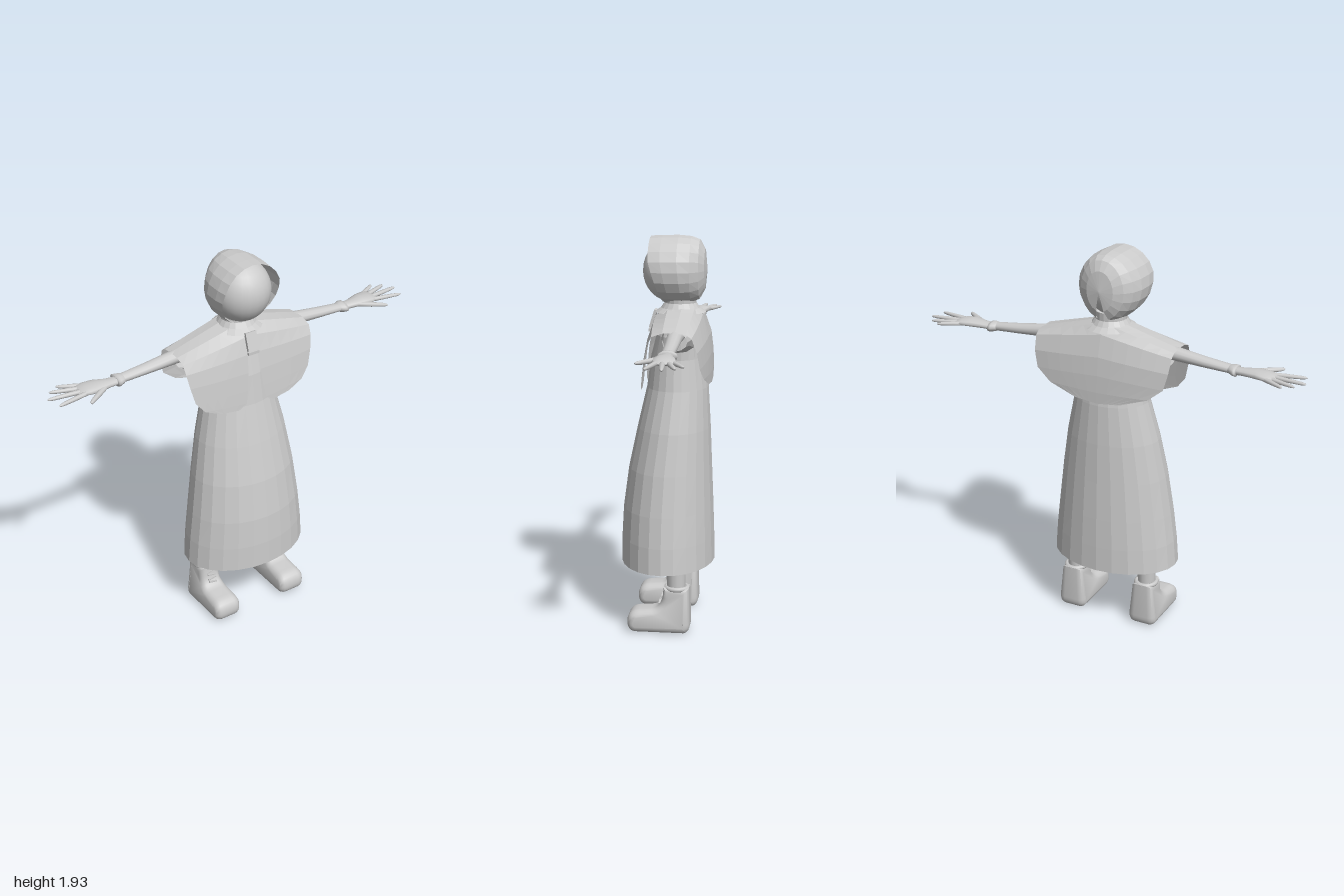
import * as THREE from 'three';
import { toCreasedNormals } from 'three/addons/utils/BufferGeometryUtils.js';

const smooth = new THREE.MeshStandardMaterial({ color: 0xcccccc });
const cloth = new THREE.MeshStandardMaterial({ color: 0xcccccc, flatShading: true, side: THREE.DoubleSide });

// Skin a list of point rows; wrap joins the last column to the first
function skin(rows, wrap = false) {
  const n = rows[0].length, index = [];
  for (let i = 0; i < rows.length - 1; i++) {
    for (let j = 0; j < (wrap ? n : n - 1); j++) {
      const k = (j + 1) % n;
      const a = i * n + j, b = i * n + k, c = a + n, d = b + n;
      index.push(a, b, d, a, d, c);
    }
  }
  const g = new THREE.BufferGeometry();
  g.setAttribute('position', new THREE.Float32BufferAttribute(rows.flat(2), 3));
  g.setIndex(index);
  g.computeVertexNormals();
  return g;
}

// Rounded limb running sideways; stations are [x, y, z, radiusY, radiusZ], s is the side
function limb(stations, s, n = 12) {
  const rows = stations.map(([x, y, z, ry, rz]) => Array.from({ length: n }, (_, j) => {
    const a = j / n * Math.PI * 2;
    return [s * x, y + ry * Math.cos(a), z + s * rz * Math.sin(a)];
  }));
  return skin(rows, true);
}

// Finger with a rounded tip between two (x, z) points
function finger([x0, z0, x1, z1], s, r) {
  const dx = x1 - x0, dz = z1 - z0, slant = Math.hypot(dx, dz) / dx;
  const steps = [[0, 1], [0.45, 0.95], [0.85, 0.75], [0.96, 0.5], [1, 0.02]];
  return limb(steps.map(([t, k]) => [x0 + dx * t, 1.46, z0 + dz * t, r * k * 0.85, r * k * slant]), s, 8);
}

function bootGeometry() {
  // Side outline, toe pointing along +x of the shape
  const o = new THREE.Shape();
  o.moveTo(-0.1, 0);
  o.lineTo(0.14, 0);
  o.quadraticCurveTo(0.18, 0.005, 0.18, 0.05);
  o.quadraticCurveTo(0.18, 0.11, 0.12, 0.115);
  o.lineTo(0.06, 0.12);
  o.quadraticCurveTo(0.015, 0.125, 0.005, 0.18);
  o.lineTo(0, 0.23);
  o.lineTo(-0.125, 0.23);
  o.lineTo(-0.13, 0.05);
  o.quadraticCurveTo(-0.13, 0.005, -0.1, 0);
  const g = new THREE.ExtrudeGeometry(o, {
    depth: 0.075, bevelSize: 0.03, bevelOffset: -0.03, bevelThickness: 0.035, bevelSegments: 4, curveSegments: 6, steps: 2,
  });
  g.translate(0, 0, -0.0375).rotateY(-Math.PI / 2);
  // Narrow the shaft above the foot
  const p = g.attributes.position;
  for (let i = 0; i < p.count; i++) {
    const y = p.getY(i);
    p.setX(i, p.getX(i) * THREE.MathUtils.clamp(1 - (y - 0.08) * 3.5, 0.78, 1));
  }
  return toCreasedNormals(g, 0.8);
}

export function createModel() {
  const model = new THREE.Group();
  const add = (name, geometry, material = smooth, x = 0, y = 0, z = 0) => {
    const m = new THREE.Mesh(geometry, material);
    m.name = name;
    m.position.set(x, y, z);
    model.add(m);
    return m;
  };

  // Long flared dress: [y, half width, front z, back z]
  const dressRings = [
    [0.32, 0.33, 0.235, -0.23], [0.45, 0.32, 0.233, -0.227], [0.6, 0.302, 0.225, -0.222],
    [0.8, 0.275, 0.198, -0.214], [1.0, 0.24, 0.155, -0.206], [1.2, 0.192, 0.108, -0.195],
    [1.35, 0.172, 0.088, -0.175], [1.46, 0.18, 0.06, -0.16], [1.53, 0.14, 0.03, -0.14], [1.57, 0.07, 0.0, -0.11],
  ];
  add('dress', skin(dressRings.map(([y, rx, zf, zb]) => Array.from({ length: 24 }, (_, j) => {
    const a = j / 24 * Math.PI * 2;
    return [rx * Math.sin(a), y, (zf + zb) / 2 + (zf - zb) / 2 * Math.cos(a)];
  })), true), cloth);

  // Cape halves, front hem over the shoulder to back hem: [z, inner y, outer y, inner x, outer x]
  const capeRows = [
    [0.122, 1.2, 1.212, 0.1, 0.2], [0.12, 1.225, 1.245, 0.055, 0.28], [0.114, 1.29, 1.3, 0.045, 0.325],
    [0.104, 1.38, 1.38, 0.035, 0.345], [0.088, 1.47, 1.45, 0.03, 0.357], [0.062, 1.55, 1.495, 0.03, 0.36],
    [0, 1.585, 1.512, 0.07, 0.36], [-0.07, 1.592, 1.514, 0.08, 0.36], [-0.13, 1.59, 1.508, 0.05, 0.36],
    [-0.165, 1.555, 1.49, 0, 0.36], [-0.195, 1.45, 1.42, 0, 0.355], [-0.206, 1.36, 1.34, 0, 0.335],
    [-0.21, 1.275, 1.28, 0, 0.26], [-0.21, 1.22, 1.232, 0, 0.12],
  ];
  for (const s of [1, -1]) {
    const rows = capeRows.map(([z, yi, yo, xi, xo]) => {
      const row = [0, 0.2, 0.4, 0.6, 0.8, 1].map((u) => {
        const x = xi + (xo - xi) * u;
        return [s * x, yi + (yo - yi) * u, -0.06 + (z + 0.06) * (1 - 1.3 * x * x)];
      });
      return s > 0 ? row : row.reverse();
    });
    add(s > 0 ? 'leftCape' : 'rightCape', skin(rows), cloth);
  }
  add('capeClasp', new THREE.BoxGeometry(0.06, 0.09, 0.014), smooth, 0, 1.53, 0.077).rotation.x = -0.3;
  add('capeStrap', new THREE.BoxGeometry(0.06, 0.014, 0.012), smooth, 0, 1.475, 0.092);

  // Neck, flaring into the cape
  const collar = [[0.125, 1.565], [0.095, 1.585], [0.078, 1.61], [0.08, 1.65]].map(([x, y]) => new THREE.Vector2(x, y));
  add('collar', new THREE.LatheGeometry(collar, 20), cloth, 0, 0, -0.055);

  // Head
  const head = add('head', new THREE.SphereGeometry(1, 24, 16), smooth, 0, 1.765, -0.015);
  head.scale.set(0.145, 0.153, 0.143);

  // Hood arches from the face opening to the back: [z, width scale, height scale]
  const hoodRows = [
    [0.088, 0.96, 0.97], [0.03, 1, 0.99], [-0.05, 0.98, 1], [-0.11, 0.87, 0.97],
    [-0.15, 0.68, 0.88], [-0.175, 0.42, 0.6], [-0.186, 0, 0],
  ];
  add('hood', skin(hoodRows.map(([z, sx, sy], i) => Array.from({ length: 19 }, (_, j) => {
    const a = (j / 18 * 2 - 1) * 2.85;
    const low = Math.max(0, -Math.cos(a) + 0.35) / 1.35;
    const lip = 0.065 * low * Math.max(0, 1 - i / 3);
    return [0.165 * sx * Math.sin(a), 1.77 + 0.165 * sy * Math.cos(a), z - lip];
  }))), cloth);

  for (const s of [1, -1]) {
    const side = s > 0 ? 'left' : 'right';

    // Arm, sleeve and cuff
    add(side + 'Arm', limb([
      [0.15, 1.5, -0.065, 0.045, 0.05], [0.34, 1.487, -0.065, 0.033, 0.037],
      [0.5, 1.472, -0.068, 0.025, 0.033], [0.66, 1.46, -0.07, 0.019, 0.028],
    ], s));
    add(side + 'Sleeve', limb([
      [0.12, 1.45, -0.06, 0.08, 0.085], [0.22, 1.462, -0.062, 0.055, 0.07], [0.32, 1.467, -0.064, 0.045, 0.06],
    ], s), cloth);
    add(side + 'Cuff', limb([
      [0.615, 1.462, -0.07, 0.016, 0.025], [0.625, 1.462, -0.07, 0.022, 0.034],
      [0.645, 1.46, -0.071, 0.025, 0.044], [0.658, 1.459, -0.072, 0.025, 0.047], [0.66, 1.458, -0.072, 0.015, 0.028],
    ], s));

    // Hand with four fingers and a thumb
    add(side + 'Palm', limb([
      [0.64, 1.458, -0.07, 0.017, 0.027], [0.7, 1.46, -0.07, 0.018, 0.034], [0.76, 1.464, -0.071, 0.021, 0.051],
      [0.81, 1.463, -0.076, 0.017, 0.056], [0.84, 1.461, -0.078, 0.011, 0.046], [0.855, 1.46, -0.078, 0.001, 0.025],
    ], s));
    const fingers = [
      [0.78, -0.1, 0.915, -0.172], [0.8, -0.09, 0.965, -0.142],
      [0.82, -0.07, 1.0, -0.088], [0.8, -0.048, 0.98, -0.012],
    ];
    fingers.forEach((f, i) => add(side + 'Finger' + (i + 1), finger(f, s, 0.013)));
    add(side + 'Thumb', finger([0.72, -0.05, 0.85, 0.045], s, 0.015));

    // Leg, boot, boot rim and laces
    const x = s * 0.2;
    add(side + 'Leg', new THREE.CylinderGeometry(0.055, 0.045, 0.5, 14), smooth, x, 0.45, -0.058);
    add(side + 'Boot', bootGeometry(), smooth, x);
    const rim = add(side + 'BootRim', new THREE.TorusGeometry(0.05, 0.012, 8, 20), smooth, x, 0.224, -0.062);
    rim.rotation.x = Math.PI / 2;
    rim.scale.y = 1.05;
    for (let i = 0; i < 4; i++) {
      const lace = add(side + 'Lace', new THREE.BoxGeometry(0.045, 0.006, 0.01), smooth, x, 0.145 + i * 0.018, 0.022 - i * 0.007);
      lace.rotation.z = i % 2 ? 0.2 : -0.2;
    }
  }
  return model;
}
